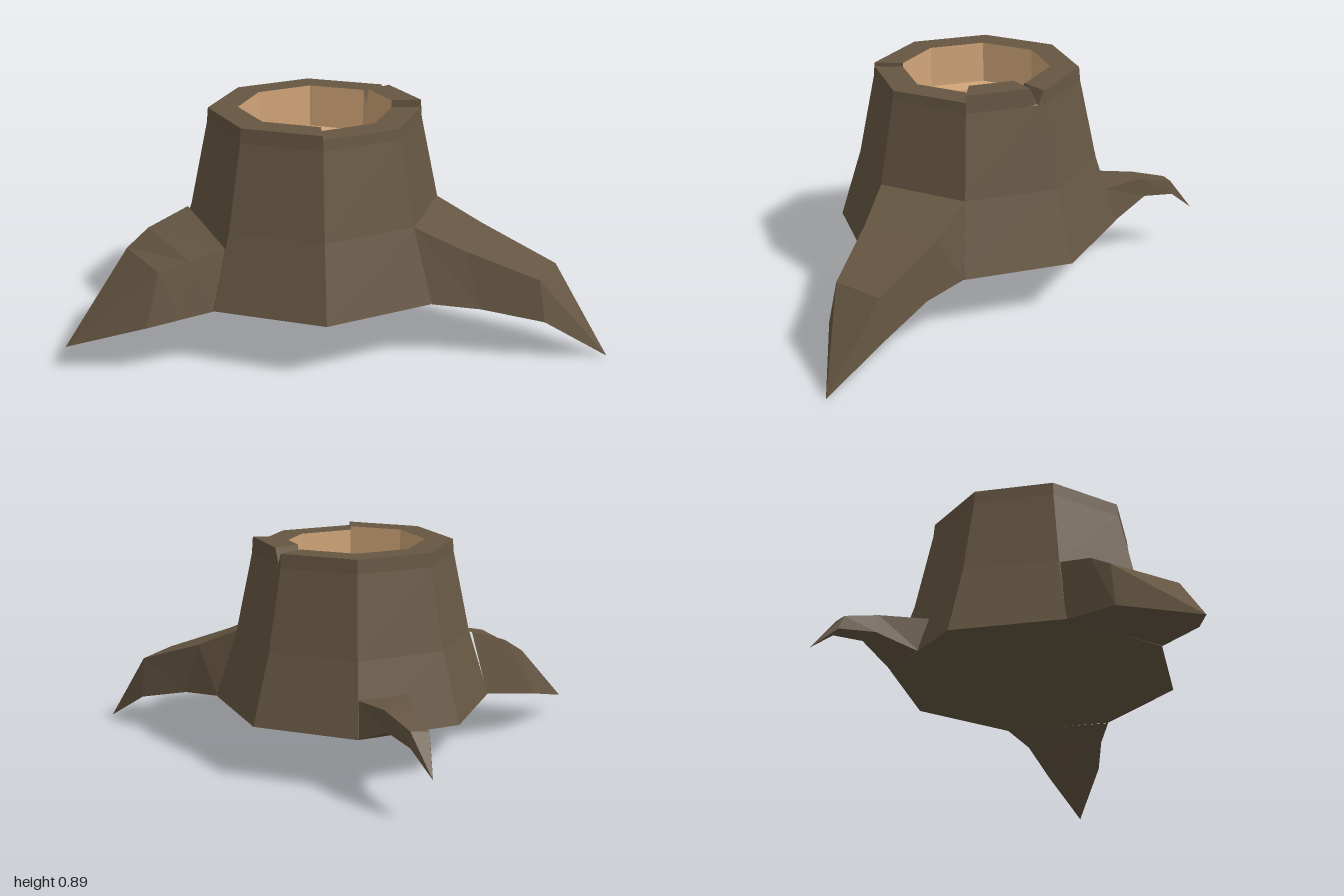
import * as THREE from 'three';

const CX = -0.06, CZ = 0.16;
const bark = new THREE.MeshStandardMaterial({ color: 0x655642, flatShading: true });
const wood = new THREE.MeshStandardMaterial({ color: 0xd2a679, flatShading: true });
const darkWood = new THREE.MeshStandardMaterial({ color: 0xbd966d, flatShading: true });

// Point on an octagon around the trunk axis; s counts corners from the front towards +x
function octPoint(s, r, y) {
  const i = Math.floor(s), f = s - i;
  const a = (i * Math.PI) / 4, b = a + Math.PI / 4;
  return [
    CX + r * (Math.sin(a) * (1 - f) + Math.sin(b) * f), y,
    CZ + r * (Math.cos(a) * (1 - f) + Math.cos(b) * f),
  ];
}
const octagon = (r, y) => Array.from({ length: 8 }, (_, i) => octPoint(i, r, y));

// Skin between closed rings that run counterclockwise around the direction of travel
function loft(rings) {
  const pos = [];
  for (let k = 0; k < rings.length - 1; k++) {
    const a = rings[k], b = rings[k + 1], n = a.length;
    for (let i = 0; i < n; i++) {
      const j = (i + 1) % n;
      pos.push(...a[i], ...a[j], ...b[j], ...a[i], ...b[j], ...b[i]);
    }
  }
  const geo = new THREE.BufferGeometry();
  geo.setAttribute('position', new THREE.Float32BufferAttribute(pos, 3));
  geo.computeVertexNormals();
  return geo;
}

export function createModel() {
  const group = new THREE.Group();
  const add = (name, rings, material) => {
    const mesh = new THREE.Mesh(loft(rings), material);
    mesh.name = name;
    group.add(mesh);
  };
  const point = (p, n) => Array.from({ length: n }, () => p);

  // Trunk with a closed underside
  add('trunk', [
    point([CX, 0.22, CZ], 8), octagon(0.563, 0.22), octagon(0.475, 0.5), octagon(0.407, 0.82),
  ], bark);

  // Broken rim: [position around the octagon, top height]; repeats make steps
  const rim = [
    [0, 0.86], [1, 0.86], [2, 0.86], [2, 0.888], [2.8, 0.888], [2.9, 0.825], [2.98, 0.875],
    [3, 0.875], [4, 0.875], [5, 0.875], [6, 0.875], [7, 0.875], [8, 0.875],
  ];
  const rimRing = (r, height) => rim.map(([s, top]) => octPoint(s, r, height ?? top));
  add('barkRim', [rimRing(0.407, 0.82), rimRing(0.402), rimRing(0.29)], bark);

  // Hollow and its ringed floor
  const floorY = 0.71;
  add('hollowWall', [rimRing(0.29), rimRing(0.29, floorY)], wood);
  const radii = [0.29, 0.195, 0.165, 0.115, 0.085, 0.055, 0.03, 0];
  for (let i = 0; i < radii.length - 1; i++) {
    add('growthRing', [octagon(radii[i], floorY), octagon(radii[i + 1], floorY)], i % 2 ? darkWood : wood);
  }

  // Roots: four-cornered sections from the trunk out to a tip
  const root = (name, sections, tip) => add(name, [...sections, point(tip, 4)], bark);

  root('leftRoot', [
    [[0.50, 0.22, 0.16], [0.415, 0.5, 0.16], [0.275, 0.5, 0.495], [0.34, 0.22, 0.56]],
    [[0.64, 0.20, 0.28], [0.58, 0.415, 0.25], [0.46, 0.415, 0.53], [0.52, 0.20, 0.575]],
    [[0.84, 0.14, 0.41], [0.83, 0.31, 0.42], [0.73, 0.315, 0.59], [0.75, 0.16, 0.62]],
  ], [1, 0, 0.59]);

  root('rightRoot', [
    [[-0.46, 0.22, 0.56], [-0.41, 0.44, 0.505], [-0.55, 0.485, 0.16], [-0.62, 0.22, 0.16]],
    [[-0.58, 0.205, 0.59], [-0.54, 0.41, 0.54], [-0.70, 0.43, 0.235], [-0.73, 0.20, 0.22]],
    [[-0.70, 0.19, 0.62], [-0.65, 0.385, 0.575], [-0.78, 0.37, 0.285], [-0.84, 0.18, 0.28]],
  ], [-1, 0.09, 0.54]);

  root('backRoot', [
    [[-0.25, 0.22, -0.31], [-0.25, 0.36, -0.28], [-0.06, 0.36, -0.355], [-0.06, 0.22, -0.40]],
    [[-0.27, 0.28, -0.48], [-0.26, 0.355, -0.47], [-0.15, 0.37, -0.50], [-0.16, 0.29, -0.52]],
    [[-0.31, 0.265, -0.62], [-0.305, 0.32, -0.60], [-0.235, 0.33, -0.625], [-0.235, 0.27, -0.635]],
  ], [-0.31, 0.18, -0.72]);

  return group;
}
